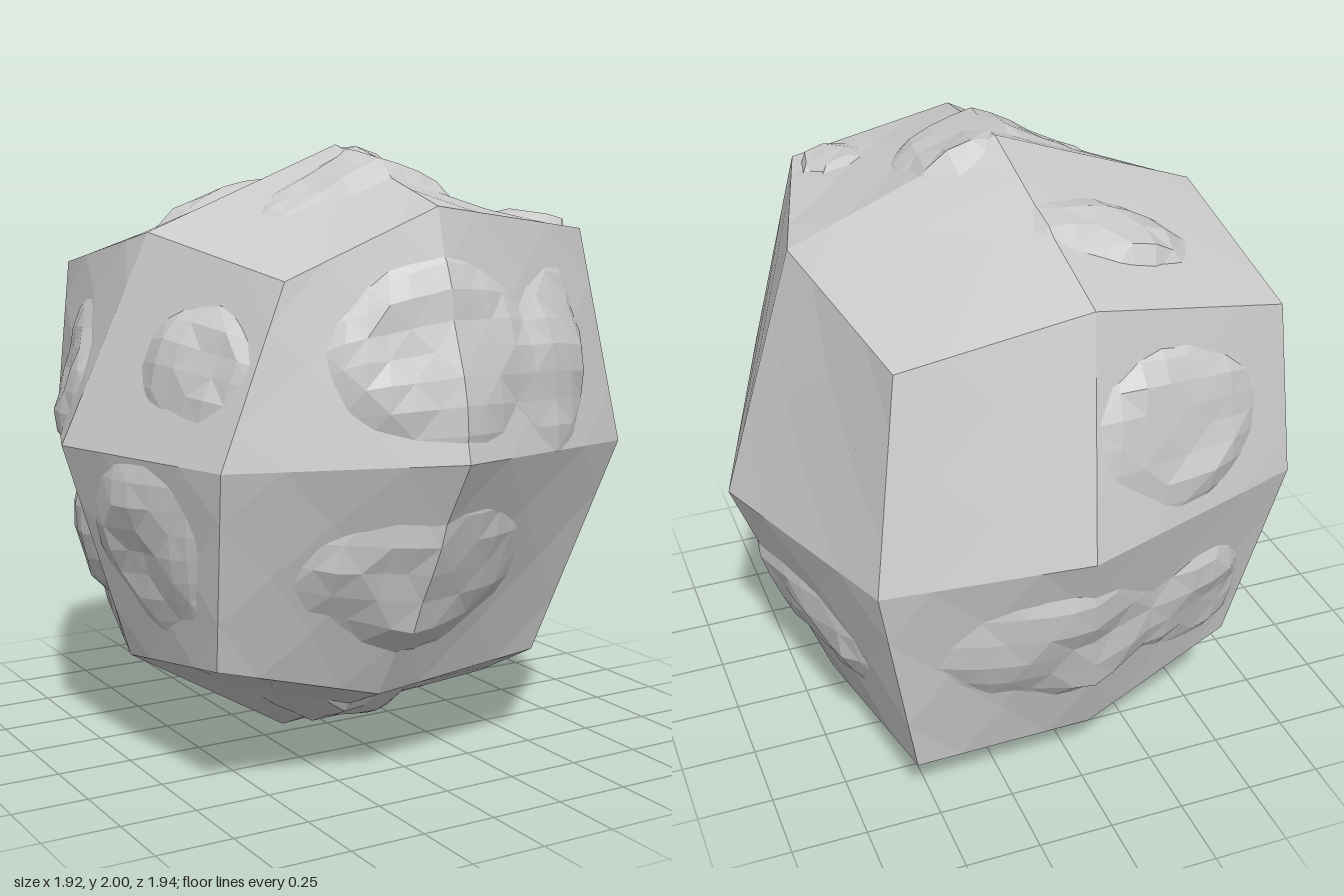
import * as THREE from 'three';

// Frame of the boulder: a cube's corners, edge middles and face centres,
// keyed by the signs of x, y, z
const FRAME = {
  '1,1,1': [0.51, 1.74, 0.70], '-1,1,1': [-0.54, 1.61, 0.69],
  '1,-1,1': [0.49, 0.33, 0.52], '-1,-1,1': [-0.70, 0.44, 0.55],
  '1,1,-1': [0.58, 1.61, -0.66], '-1,1,-1': [-0.67, 1.60, -0.64],
  '1,-1,-1': [0.56, 0.19, -0.71], '-1,-1,-1': [-0.56, 0.38, -0.62],
  '0,1,1': [-0.09, 1.82, 0.80], '0,-1,1': [-0.16, 0.30, 0.60],
  '1,0,1': [0.69, 1.05, 0.70], '-1,0,1': [-0.75, 1.07, 0.69],
  '1,1,0': [0.70, 1.71, 0.04], '-1,1,0': [-0.69, 1.73, 0.08],
  '1,-1,0': [0.65, 0.09, 0.00], '-1,-1,0': [-0.74, 0.36, 0.00],
  '0,1,-1': [0.01, 1.76, -0.77], '0,-1,-1': [-0.05, 0.17, -0.68],
  '1,0,-1': [0.69, 0.94, -0.79], '-1,0,-1': [-0.69, 1.05, -0.73],
  '0,0,1': [-0.08, 1.08, 0.97], '0,0,-1': [0.07, 1.03, -0.97],
  '1,0,0': [0.96, 0.90, 0.00], '-1,0,0': [-0.96, 1.07, 0.00],
  '0,1,0': [0.02, 2.00, 0.02], '0,-1,0': [-0.14, 0.00, -0.07],
};

// Raised patches: centre x, y, z, then radii x, y, z
const PATCHES = [
  [-0.10, 0.68, 0.80, 0.58, 0.32, 0.4], [-0.10, 1.40, 0.88, 0.50, 0.36, 0.3],
  [0.36, 1.35, 0.82, 0.22, 0.40, 0.3], [-0.70, 1.35, 0.45, 0.25, 0.25, 0.3],
  [0.80, 0.48, -0.15, 0.4, 0.28, 0.55], [0.88, 0.75, 0.22, 0.3, 0.25, 0.25],
  [0.78, 1.40, -0.58, 0.2, 0.22, 0.12],
  [-0.25, 1.88, -0.38, 0.45, 0.3, 0.22], [-0.15, 1.93, 0.30, 0.45, 0.3, 0.22],
  [0.15, 1.95, 0.20, 0.22, 0.3, 0.35], [0.40, 1.78, 0.58, 0.14, 0.2, 0.16],
  [-0.28, 1.35, -0.82, 0.42, 0.32, 0.3], [0.10, 0.62, -0.84, 0.55, 0.34, 0.3],
  [-0.38, 0.60, -0.76, 0.28, 0.30, 0.3],
  [-0.86, 0.75, 0.32, 0.3, 0.40, 0.35], [-0.84, 1.30, -0.35, 0.3, 0.34, 0.32],
  [-0.84, 0.68, -0.30, 0.3, 0.26, 0.32],
  [-0.15, 0.13, 0.25, 0.40, 0.2, 0.25], [0.15, 0.10, -0.36, 0.35, 0.2, 0.22],
];

const CENTRE = new THREE.Vector3(0, 1, 0);

// Point on the frame: each quarter of a cube face is spanned bilinearly
function framePoint(cube) {
  const p = new THREE.Vector3();
  for (let i = 0; i < 8; i++) {
    let weight = 1;
    const key = cube.map((c, axis) => {
      const near = Math.min(Math.floor(c), 0);
      const upper = (i >> axis) & 1;
      weight *= upper ? c - near : 1 - (c - near);
      return near + upper;
    });
    if (weight > 0) p.addScaledVector(new THREE.Vector3(...FRAME[key.join()]), weight);
  }
  return p;
}

// Chipped relief: sunk between the patches, lifted and uneven on them
function chip(p) {
  let lift = 0;
  for (const [x, y, z, rx, ry, rz] of PATCHES) {
    const d = Math.hypot((p.x - x) / rx, (p.y - y) / ry, (p.z - z) / rz);
    lift = Math.max(lift, Math.min(1, 2.2 * (1 - d)));
  }
  const rough = Math.sin(9 * p.x + 4 * p.y) * Math.sin(8 * p.y - 5 * p.z + 1)
    + 0.7 * Math.sin(17 * p.z + 11 * p.x) * Math.cos(19 * p.y + 6 * p.x);
  const height = -0.035 + lift * (0.062 + 0.016 * rough);
  return p.addScaledVector(p.clone().sub(CENTRE).normalize(), height);
}

// Six gridded faces, n cells a side
function shell(n, shape) {
  const positions = [];
  for (let axis = 0; axis < 3; axis++) {
    for (const side of [1, -1]) {
      const at = (i, j) => {
        const cube = [0, 0, 0];
        cube[axis] = side;
        cube[(axis + 1) % 3] = (side * (2 * i - n)) / n;
        cube[(axis + 2) % 3] = (2 * j - n) / n;
        return shape(framePoint(cube));
      };
      for (let i = 0; i < n; i++) {
        for (let j = 0; j < n; j++) {
          const a = at(i, j), b = at(i + 1, j), c = at(i + 1, j + 1), d = at(i, j + 1);
          const corners = (i + j) % 2 ? [a, b, c, a, c, d] : [a, b, d, b, c, d];
          for (const p of corners) positions.push(p.x, p.y, p.z);
        }
      }
    }
  }
  const geometry = new THREE.BufferGeometry();
  geometry.setAttribute('position', new THREE.Float32BufferAttribute(positions, 3));
  geometry.computeVertexNormals();
  return geometry;
}

export function createModel() {
  const group = new THREE.Group();
  group.name = 'boulder';
  const stone = new THREE.MeshStandardMaterial({ color: 0xcccccc, flatShading: true });

  // Large, plain facets
  const body = new THREE.Mesh(shell(8, (p) => p), stone);
  body.name = 'facetedBody';

  // Rough chips that break through the facets
  const chips = new THREE.Mesh(shell(18, chip), stone);
  chips.name = 'raisedChips';

  group.add(body, chips);
  return group;
}
